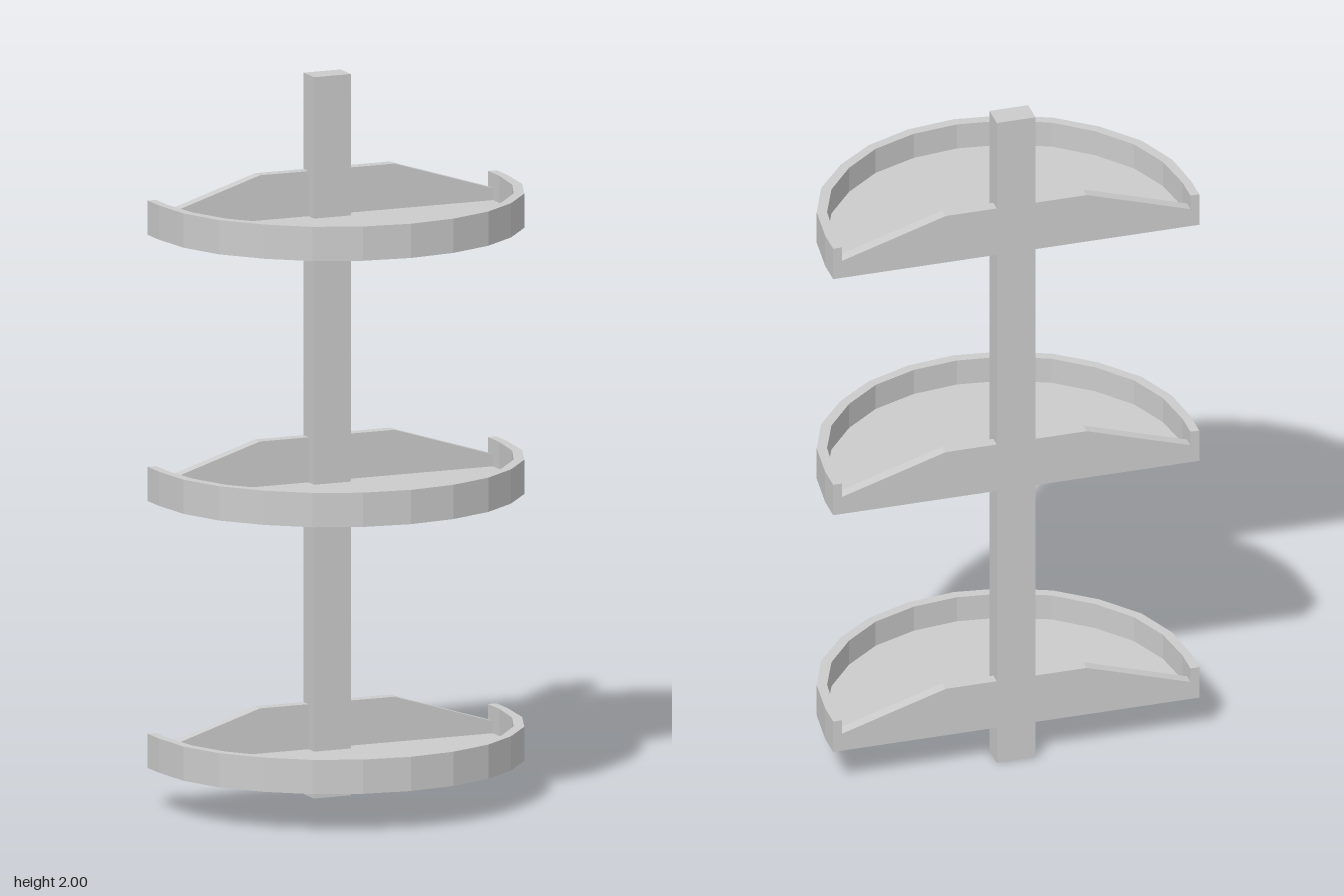
import * as THREE from 'three';

const material = new THREE.MeshStandardMaterial({ color: 0xcccccc, flatShading: true });
const BACK = -0.295, BOARD_FRONT = -0.262, POST_HALF = 0.055;
const RIM_H = 0.095, FLOOR_H = 0.02;

// Half outlines [x, z] from the back corner round to the front centre
const OUTER = [[0.52, BACK], [0.52, -0.22], [0.505, -0.09], [0.455, 0.035], [0.367, 0.143], [0.262, 0.225], [0.135, 0.277], [0, 0.295]];
const INNER = [[0.495, BACK], [0.495, -0.22], [0.477, -0.095], [0.43, 0.02], [0.35, 0.12], [0.25, 0.2], [0.127, 0.249], [0, 0.265]];

// Mirror a half outline into a full bow running from +x to -x
const bow = half => [...half, ...half.slice(0, -1).reverse().map(([x, z]) => [-x, z])];

function extrude(points, depth) {
  const shape = new THREE.Shape(points.map(([x, y]) => new THREE.Vector2(x, y)));
  return new THREE.ExtrudeGeometry(shape, { depth, bevelEnabled: false });
}

// Extrude an [x, z] outline upwards from y = 0
const slab = (points, height) => extrude(points.map(([x, z]) => [x, -z]), height).rotateX(-Math.PI / 2);

function addMesh(parent, name, geometry) {
  const mesh = new THREE.Mesh(geometry, material);
  mesh.name = name;
  parent.add(mesh);
  return mesh;
}

// Curved rim, flat floor and a sloped back board either side of the post
const rimGeometry = slab([...bow(OUTER), ...bow(INNER).reverse()], RIM_H);
const floorOutline = INNER.map(([x, z]) => [x, Math.max(z, BOARD_FRONT)]);
const floorGeometry = slab(bow(floorOutline), FLOOR_H);

function boardGeometry(side) {
  const profile = [[POST_HALF, 0], [0.495, 0], [0.495, 0.053], [0.2, 0.145], [POST_HALF, 0.145]];
  return extrude(profile.map(([x, y]) => [x * side, y]), BOARD_FRONT - BACK).translate(0, 0, BACK);
}

function createShelf(y) {
  const shelf = new THREE.Group();
  shelf.name = 'shelf';
  addMesh(shelf, 'rim', rimGeometry);
  addMesh(shelf, 'floor', floorGeometry);
  addMesh(shelf, 'leftBackBoard', boardGeometry(1));
  addMesh(shelf, 'rightBackBoard', boardGeometry(-1));
  shelf.position.y = y;
  return shelf;
}

export function createModel() {
  const model = new THREE.Group();
  model.name = 'tieredShelf';

  // Square post running the full height at the back
  const post = addMesh(model, 'post', new THREE.BoxGeometry(POST_HALF * 2, 2, 0.07));
  post.position.set(0, 1, BACK + 0.035);

  for (const y of [0.11, 0.85, 1.588]) model.add(createShelf(y));
  return model;
}
